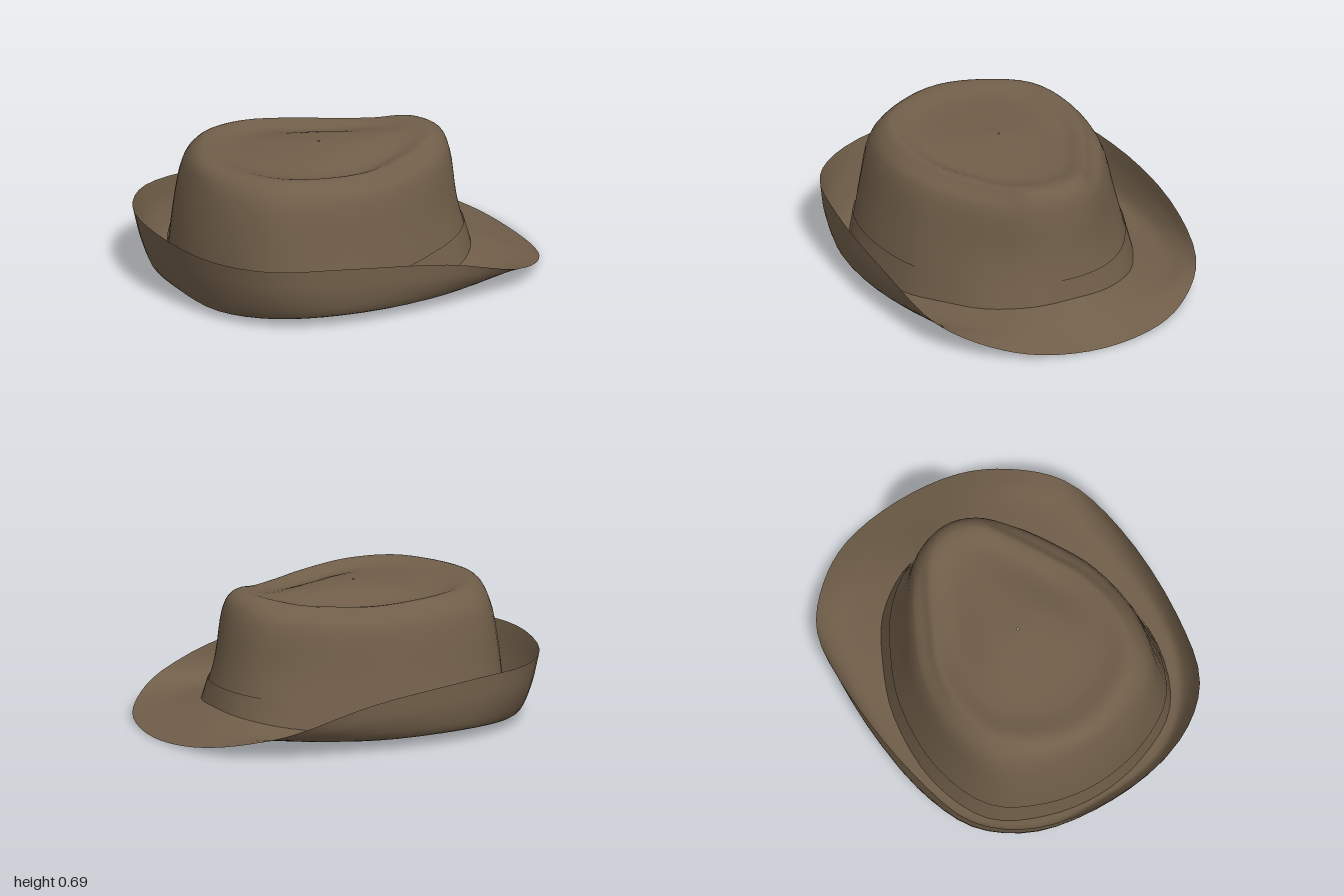
import * as THREE from 'three';

const COLUMNS = 64;
const CENTRE_X = -0.1;

// Half outlines as [x, z], from the pointed front (+x) round to the back (-x)
const BRIM_EDGE = [[1, 0], [.95, .33], [.82, .55], [.6, .73], [.2, .8], [-.35, .775], [-.72, .67], [-.92, .42], [-1, 0]];
const BRIM_WALL = [[.88, 0], [.85, .3], [.74, .51], [.55, .7], [.18, .79], [-.35, .77], [-.69, .655], [-.885, .4], [-.95, 0]];
const BRIM_FOLD = [[.78, 0], [.76, .27], [.66, .47], [.48, .64], [.14, .74], [-.35, .735], [-.66, .6], [-.84, .35], [-.88, 0]];
const BASE = [[.66, 0], [.63, .2], [.5, .4], [.3, .53], [.05, .63], [-.35, .655], [-.65, .53], [-.79, .28], [-.84, 0]];
const WALL = [[.62, 0], [.57, .19], [.44, .34], [.25, .47], [.02, .57], [-.33, .6], [-.62, .5], [-.77, .27], [-.82, 0]];
const SHOULDER = [[.59, 0], [.54, .17], [.4, .3], [.2, .42], [0, .51], [-.3, .55], [-.58, .47], [-.73, .25], [-.78, 0]];
const RIM = [[.56, 0], [.51, .15], [.37, .26], [.17, .37], [-.02, .46], [-.3, .5], [-.54, .43], [-.69, .23], [-.75, 0]];

const EDGE_Y = [0, .02, .06, .13, .25, .315, .33, .335, .35];
const WALL_Y = [.04, .05, .07, .1, .15, .17, .17, .17, .17];
const FOLD_Y = [.075, .075, .07, .065, .06, .06, .05, .035, .035];
const BASE_Y = [.12, .11, .09, .07, .04, .045, .03, .02, .025];
const RIM_Y = [.68, .675, .65, .645, .65, .67, .68, .68, .68];
const DENT_Y = [.66, .645, .63, .62, .62, .64, .65, .655, .66];

// Mirrors a half outline and samples it as a smooth closed ring
function ring(outline, heights, scale = 1, lift = 0) {
  const half = outline.map(([x, z], i) => new THREE.Vector3(
    CENTRE_X + (x - CENTRE_X) * scale,
    (Array.isArray(heights) ? heights[i] : heights) + lift,
    z * scale));
  const mirrored = half.slice(1, -1).reverse().map(p => new THREE.Vector3(p.x, p.y, -p.z));
  const curve = new THREE.CatmullRomCurve3([...half, ...mirrored], true);
  return Array.from({ length: COLUMNS }, (_, i) => curve.getPoint(i / COLUMNS));
}

// Adds smooth rows between the given rings
function refine(rings, steps) {
  const rowCount = (rings.length - 1) * steps;
  const columns = rings[0].map((_, i) => new THREE.CatmullRomCurve3(rings.map(r => r[i])));
  return Array.from({ length: rowCount + 1 }, (_, j) => columns.map(c => c.getPoint(j / rowCount)));
}

// Skins rows that run from the outside of the hat in and upward
function skin(name, rows, material) {
  const index = [];
  for (let j = 0; j < rows.length - 1; j++) {
    for (let i = 0; i < COLUMNS; i++) {
      const next = (i + 1) % COLUMNS;
      const a = j * COLUMNS + i, b = j * COLUMNS + next;
      const c = a + COLUMNS, d = b + COLUMNS;
      index.push(a, c, b, b, c, d);
    }
  }
  const geometry = new THREE.BufferGeometry().setFromPoints(rows.flat());
  geometry.setIndex(index);
  geometry.computeVertexNormals();
  const mesh = new THREE.Mesh(geometry, material);
  mesh.name = name;
  return mesh;
}

export function createModel() {
  const felt = new THREE.MeshStandardMaterial({ color: 0x705e49, side: THREE.DoubleSide });
  felt.name = 'brown felt';
  const hat = new THREE.Group();
  hat.name = 'hat';

  // Brim: turned up at the sides and back, sloping down at the front
  const base = ring(BASE, BASE_Y);
  const brimRows = refine([ring(BRIM_EDGE, EDGE_Y), ring(BRIM_WALL, WALL_Y), ring(BRIM_FOLD, FOLD_Y), base], 4);
  hat.add(skin('brim', brimRows, felt));

  // Crown: pinched towards the front, with a dented top and raised middle
  const crownRows = refine([
    base,
    ring(WALL, .33),
    ring(SHOULDER, .57),
    ring(RIM, RIM_Y, 1, -.03),
    ring(RIM, RIM_Y, .91),
    ring(RIM, DENT_Y, .7),
    ring(RIM, .668, .35),
    ring(RIM, .685, .01),
  ], 4);
  hat.add(skin('crown', crownRows, felt));

  // Band: a thin strip hugging the foot of the crown
  const bandRows = crownRows.slice(0, 3).map(row => row.map(p =>
    new THREE.Vector3(CENTRE_X + (p.x - CENTRE_X) * 1.01, p.y, p.z * 1.01)));
  hat.add(skin('band', bandRows, felt));

  return hat;
}
